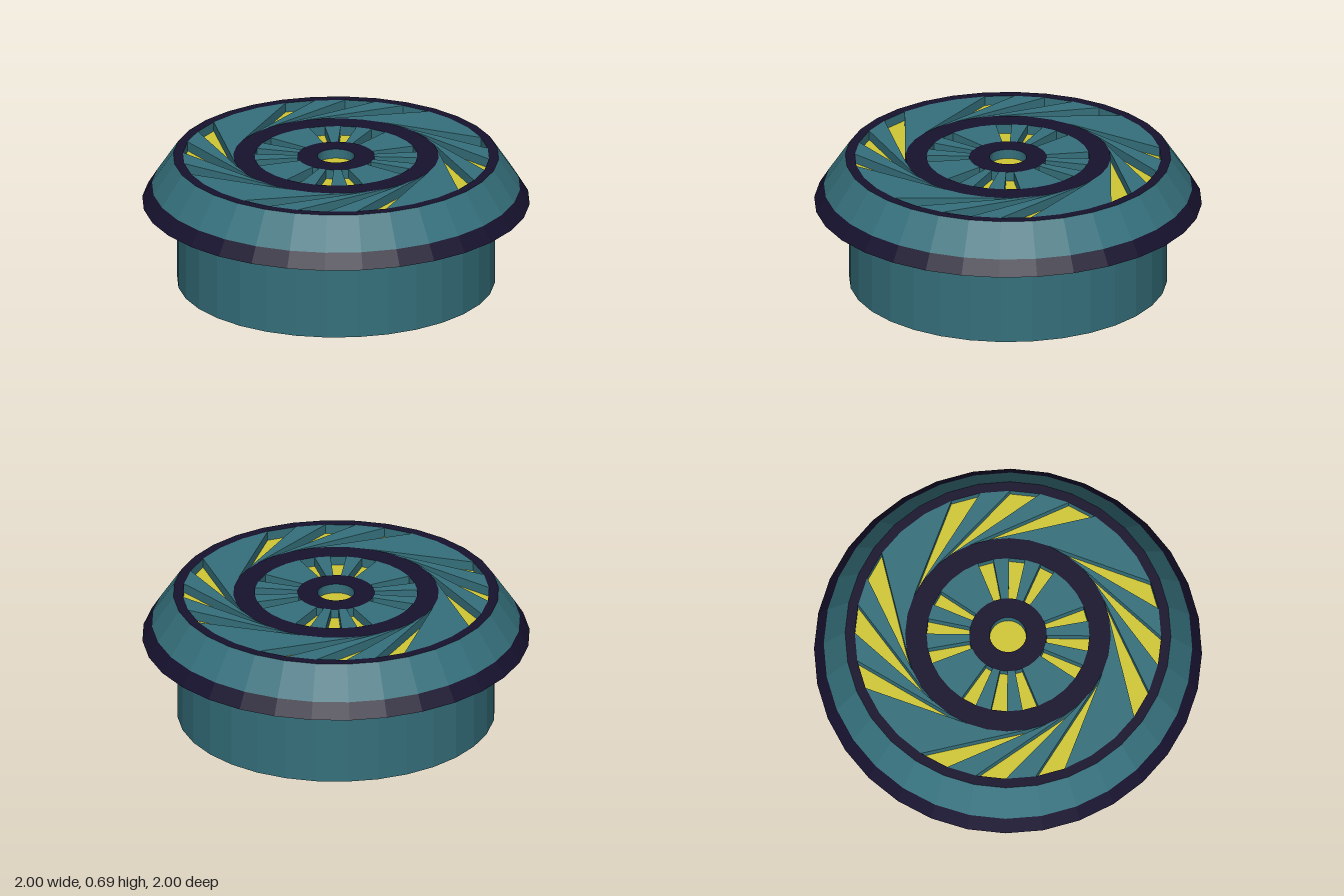
import * as THREE from 'three';

const SIDES = 32;
const STEP = (Math.PI * 2) / SIDES;
const TOP = 0.685;
const FLOOR = 0.635;

const paint = (color) => new THREE.MeshStandardMaterial({ color, flatShading: true });

export function createModel() {
  const model = new THREE.Group();
  const teal = paint(0x35707c);
  const dark = paint(0x17122f);
  const yellow = paint(0xd2c835);

  // Surface of revolution; profiles run up the outside and inwards over the top
  const lathe = (name, material, profile, parent = model) => {
    const points = profile.map(([r, y]) => new THREE.Vector2(r, y));
    const mesh = new THREE.Mesh(new THREE.LatheGeometry(points, SIDES), material);
    mesh.name = name;
    parent.add(mesh);
  };

  // Housing, from the base up and over the rim to the lit floor
  lathe('base', teal, [[0, 0], [0.82, 0], [0.82, 0.44], [1, 0.44]]);
  lathe('lowerTrim', dark, [[1, 0.44], [0.95, 0.52]]);
  lathe('slopedCollar', teal, [[0.95, 0.52], [0.84, TOP]]);
  lathe('topRim', dark, [[0.84, TOP], [0.79, TOP]]);
  lathe('rimInnerWall', teal, [[0.79, TOP], [0.79, FLOOR]]);
  lathe('glowFloor', yellow, [[0.79, FLOOR], [0, FLOOR]]);

  // Two raised rings with dark tops
  for (const [name, inner, outer] of [['middleRing', 0.42, 0.53], ['hubRing', 0.095, 0.2]]) {
    const ring = new THREE.Group();
    ring.name = name;
    lathe('outerWall', teal, [[outer, FLOOR], [outer, TOP]], ring);
    lathe('ringTop', dark, [[outer, TOP], [inner, TOP]], ring);
    lathe('innerWall', teal, [[inner, TOP], [inner, FLOOR]], ring);
    model.add(ring);
  }

  // Blades between two radii; the angle runs clockwise from the back
  const blades = (name, inner, outer, twist) => {
    const group = new THREE.Group();
    group.name = name;
    const at = (r, k) => new THREE.Vector2(r * Math.sin(k * STEP), r * Math.cos(k * STEP));
    for (let i = 0; i < SIDES; i++) {
      // Three open slots in every quarter turn
      if ([2, 4, 6].includes(i % 8)) continue;
      const shape = new THREE.Shape([
        at(inner, i - twist), at(outer, i), at(outer, i + 1), at(inner, i + 1 - twist),
      ]);
      const geometry = new THREE.ExtrudeGeometry(shape, { depth: TOP - FLOOR, bevelEnabled: false });
      geometry.rotateX(-Math.PI / 2).translate(0, FLOOR, 0);
      const blade = new THREE.Mesh(geometry, teal);
      blade.name = 'blade';
      group.add(blade);
    }
    model.add(group);
  };
  blades('swirlBlades', 0.53, 0.79, 4);
  blades('hubSpokes', 0.2, 0.42, 0);

  return model;
}
